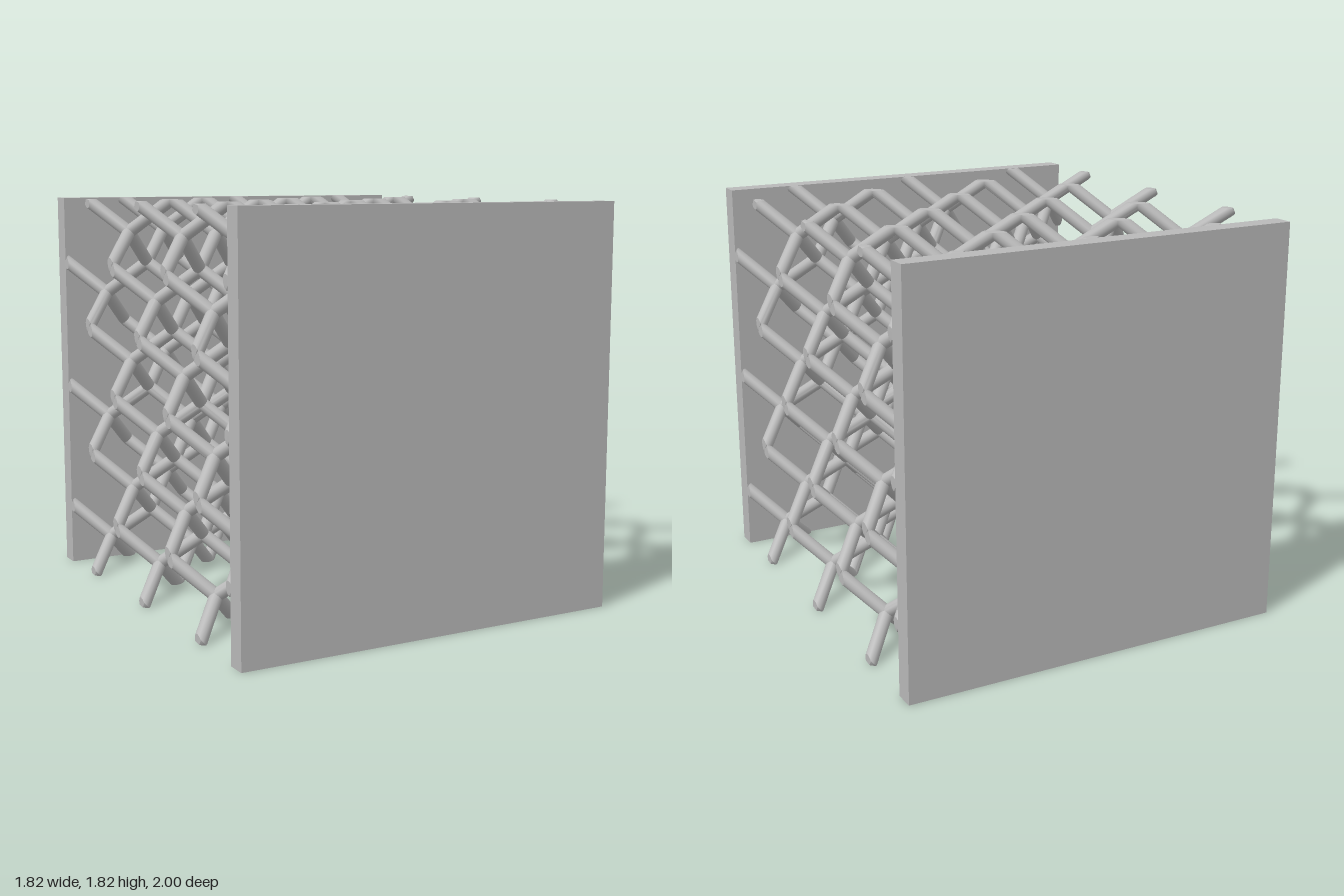
import * as THREE from 'three';
import { mergeGeometries, toCreasedNormals } from 'three/addons/utils/BufferGeometryUtils.js';

const HALF = 0.909;          // half the lattice cube
const STEP = HALF / 3;       // half a lattice cell
const RADIUS = 0.03;
const SIDES = 16;
const UP = new THREE.Vector3(0, 1, 0);

// The four tetrahedral bond directions at each main node
const BONDS = [[1, -1, 1], [-1, -1, -1], [1, 1, -1], [-1, 1, 1]]
  .map((b) => new THREE.Vector3(...b));

// A round strut from a to b, trimmed flush with the faces of the cube
function strut(a, b) {
  const axis = b.clone().sub(a);
  const length = axis.length();
  axis.normalize();
  const geo = new THREE.CylinderGeometry(RADIUS, RADIUS, length, SIDES);
  geo.applyQuaternion(new THREE.Quaternion().setFromUnitVectors(UP, axis));
  const mid = a.clone().add(b).multiplyScalar(0.5);
  geo.translate(mid.x, mid.y, mid.z);

  const pos = geo.attributes.position;
  const v = new THREE.Vector3();
  for (let i = 0; i < pos.count; i++) {
    v.fromBufferAttribute(pos, i);
    // slide any protruding point back along the strut
    let slide = 0;
    for (const c of ['x', 'y', 'z']) {
      slide = Math.max(slide, (Math.abs(v[c]) - HALF) / Math.abs(axis[c]));
    }
    const toMiddle = Math.sign(mid.clone().sub(v).dot(axis));
    v.addScaledVector(axis, toMiddle * slide);
    pos.setXYZ(i, v.x, v.y, v.z);
  }
  return toCreasedNormals(geo, 0.5);
}

export function createModel() {
  const grey = new THREE.MeshStandardMaterial({ color: 0xb8b8b8 });
  grey.name = 'grey';
  const model = new THREE.Group();
  model.name = 'latticeSandwich';

  // Diamond lattice, three cells along each side
  const struts = [];
  for (let i = 0; i <= 6; i++) {
    for (let j = 0; j <= 6; j++) {
      for (let k = 0; k <= 6; k++) {
        if ((i + j + k) % 2 === 0) continue;
        const node = new THREE.Vector3(i - 3, j - 3, k - 3).multiplyScalar(STEP);
        for (const bond of BONDS) {
          const end = node.clone().addScaledVector(bond, STEP / 2);
          if (Math.max(Math.abs(end.x), Math.abs(end.y), Math.abs(end.z)) > HALF) continue;
          struts.push(strut(node, end));
        }
      }
    }
  }
  const lattice = new THREE.Mesh(mergeGeometries(struts), grey);
  lattice.name = 'lattice';
  lattice.position.y = HALF;
  model.add(lattice);

  // Solid plates on the front and back
  const thickness = 1 - HALF;
  for (const [name, side] of [['frontPlate', 1], ['backPlate', -1]]) {
    const plate = new THREE.Mesh(new THREE.BoxGeometry(2 * HALF, 2 * HALF, thickness), grey);
    plate.name = name;
    plate.position.set(0, HALF, side * (HALF + thickness / 2));
    model.add(plate);
  }
  return model;
}
